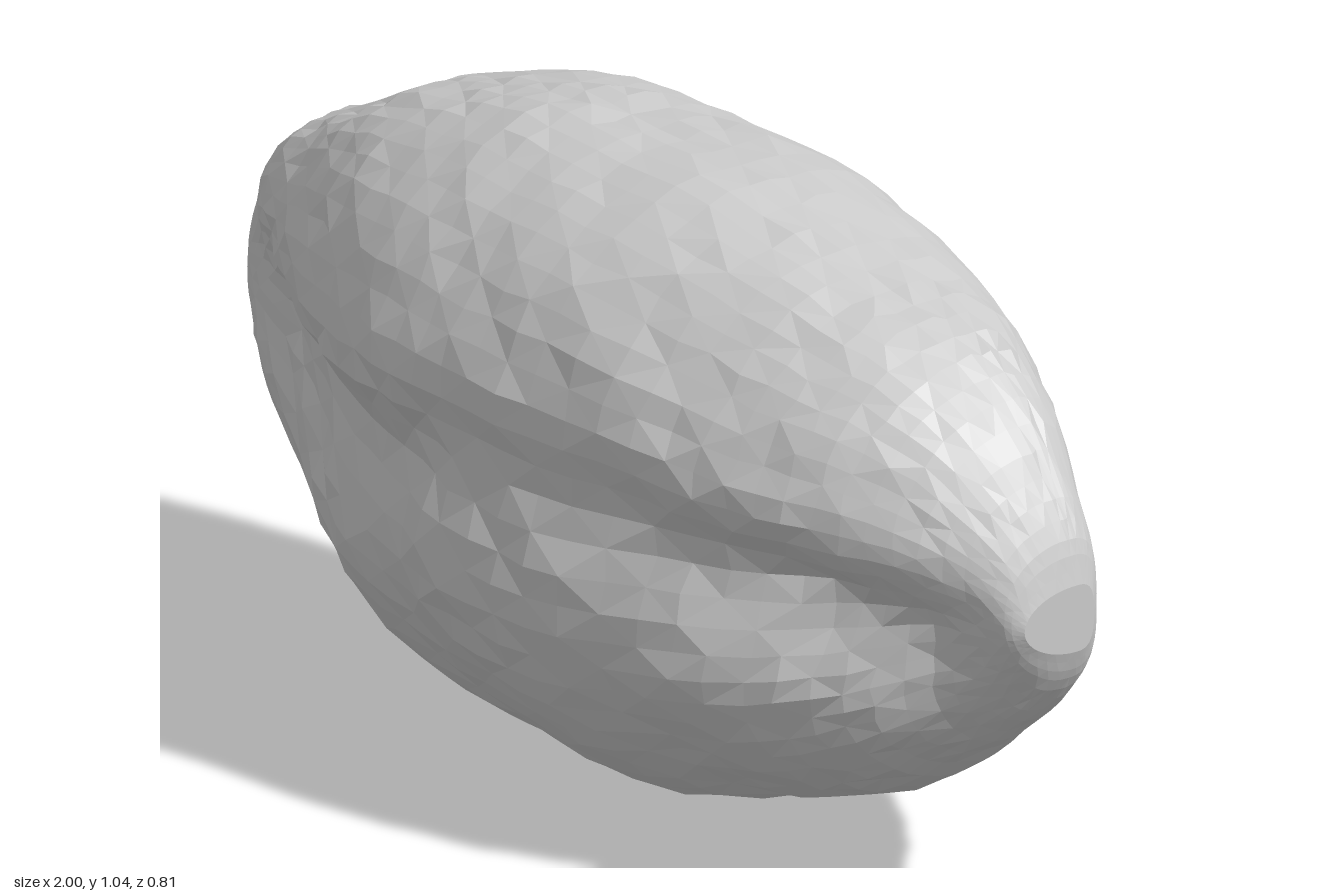
import * as THREE from 'three';

// Body stations: x, top y, bottom y, front z, back z
const STATIONS = [
  [-1.0, 0.55, 0.47, -0.03, -0.1],
  [-0.985, 0.62, 0.405, 0.01, -0.13],
  [-0.94, 0.695, 0.33, 0.05, -0.165],
  [-0.87, 0.765, 0.28, 0.1, -0.195],
  [-0.72, 0.84, 0.215, 0.18, -0.235],
  [-0.55, 0.925, 0.14, 0.275, -0.265],
  [-0.36, 0.99, 0.065, 0.36, -0.295],
  [-0.18, 1.025, 0.03, 0.405, -0.32],
  [0.0, 1.03, 0.015, 0.42, -0.335],
  [0.2, 1.03, 0.003, 0.415, -0.345],
  [0.42, 0.995, 0.06, 0.375, -0.33],
  [0.6, 0.95, 0.115, 0.325, -0.29],
  [0.74, 0.91, 0.185, 0.265, -0.225],
  [0.85, 0.835, 0.275, 0.18, -0.18],
  [0.93, 0.73, 0.345, 0.105, -0.15],
  [0.98, 0.64, 0.41, 0.055, -0.135],
  [1.0, 0.57, 0.46, 0.02, -0.115],
];

// Crease along the front: x, centre y, depth
const CREASE = [
  [-1, 0.56, 0.0], [-0.9, 0.55, 0.04], [-0.7, 0.53, 0.08], [-0.4, 0.52, 0.095], [-0.15, 0.53, 0.08],
  [0.0, 0.59, 0.06], [0.3, 0.58, 0.065], [0.5, 0.55, 0.09], [0.7, 0.52, 0.14], [0.85, 0.5, 0.09], [1, 0.5, 0.0],
];

function lerpTable(table, x) {
  let i = 0;
  while (i < table.length - 2 && x > table[i + 1][0]) i++;
  const a = table[i], b = table[i + 1];
  const t = THREE.MathUtils.clamp((x - a[0]) / (b[0] - a[0]), 0, 1);
  return a.map((v, k) => THREE.MathUtils.lerp(v, b[k], t));
}

const bell = (d, w) => Math.exp(-((d / w) ** 2));

function seededRandom(seed) {
  return () => {
    seed = (seed * 16807) % 2147483647;
    return seed / 2147483647 - 0.5;
  };
}

function beanGeometry(rings = 48, sides = 60) {
  const rand = seededRandom(71);
  const upDown = new THREE.CatmullRomCurve3(STATIONS.map((s) => new THREE.Vector3(s[0], s[1], s[2])));
  const frontBack = new THREE.CatmullRomCurve3(STATIONS.map((s) => new THREE.Vector3(s[0], s[3], s[4])));
  const positions = [], index = [];

  for (let r = 0; r <= rings; r++) {
    const a = upDown.getPoint(r / rings), b = frontBack.getPoint(r / rings);
    const [x, top, bottom, front, back] = [a.x, a.y, a.z, b.y, b.z];
    const midY = (top + bottom) / 2, halfY = (top - bottom) / 2;
    // The rim lies further back towards the tips
    const rimZ = -0.08 * x * x;
    const [, creaseY, creaseDepth] = lerpTable(CREASE, x);
    const middle = Math.max(0, 1 - x * x);

    for (let s = 0; s < sides; s++) {
      const angle = (s / sides) * Math.PI * 2;
      const c = Math.cos(angle), n = Math.sin(angle);
      // Rounded front, boxier back, fuller towards one tip
      const e = c > 0 ? (n > 0 ? 2 : 1.9) + 0.4 * Math.max(0, -x) : n > 0 ? 3.3 : 2.8;
      const radius = (Math.abs(c) ** e + Math.abs(n) ** e) ** (-1 / e);
      let y = midY + halfY * n * radius;
      let z = rimZ + (c > 0 ? front - rimZ : rimZ - back) * c * radius;
      if (c > 0) {
        // Crease: steep under the upper lobe, wide shelf above the lower lobe
        const d = y - creaseY;
        z -= creaseDepth * bell(d, d > 0 ? 0.085 : 0.14) * Math.min(1, c * 2);
      } else {
        // Raised ridge along the back, with a shallow dent near one end
        z -= 0.068 * middle * bell(y - 0.49, 0.13) * bell(x - 0.25, 0.52);
        z += 0.02 * bell(x - 0.74, 0.08) * bell(y - 0.45, 0.25) * Math.min(1, -c * 2);
      }
      // Low, rough bumps
      const lump = 0.005 * middle * Math.sin(9 * x + 7 * y) * Math.sin(11 * y - 8 * z + 3 * x);
      const rough = 0.013 * Math.min(1, middle * 2);
      y += n * (lump + rough * rand() * 0.7);
      z += c * (lump + rough * rand());
      positions.push(x + rand() * rough, y, z);
    }
  }

  const at = (r, s) => r * sides + (s % sides);
  for (let r = 0; r < rings; r++) {
    for (let s = 0; s < sides; s++) {
      const p = at(r, s), q = at(r + 1, s), u = at(r + 1, s + 1), v = at(r, s + 1);
      if ((r + s) % 2) index.push(p, q, u, p, u, v);
      else index.push(p, q, v, q, u, v);
    }
  }

  // Close both tips
  for (const r of [0, rings]) {
    const st = STATIONS[r ? STATIONS.length - 1 : 0];
    const centre = positions.length / 3;
    positions.push(st[0], (st[1] + st[2]) / 2, (st[3] + st[4]) / 2);
    for (let s = 0; s < sides; s++) {
      if (r) index.push(centre, at(r, s + 1), at(r, s));
      else index.push(centre, at(r, s), at(r, s + 1));
    }
  }

  const geometry = new THREE.BufferGeometry();
  geometry.setAttribute('position', new THREE.Float32BufferAttribute(positions, 3));
  geometry.setIndex(index);
  geometry.computeVertexNormals();
  return geometry;
}

export function createModel() {
  const group = new THREE.Group();
  group.name = 'creasedBean';
  const material = new THREE.MeshStandardMaterial({ color: 0xcccccc, flatShading: true });
  const bean = new THREE.Mesh(beanGeometry(), material);
  bean.name = 'beanBody';
  group.add(bean);
  return group;
}
